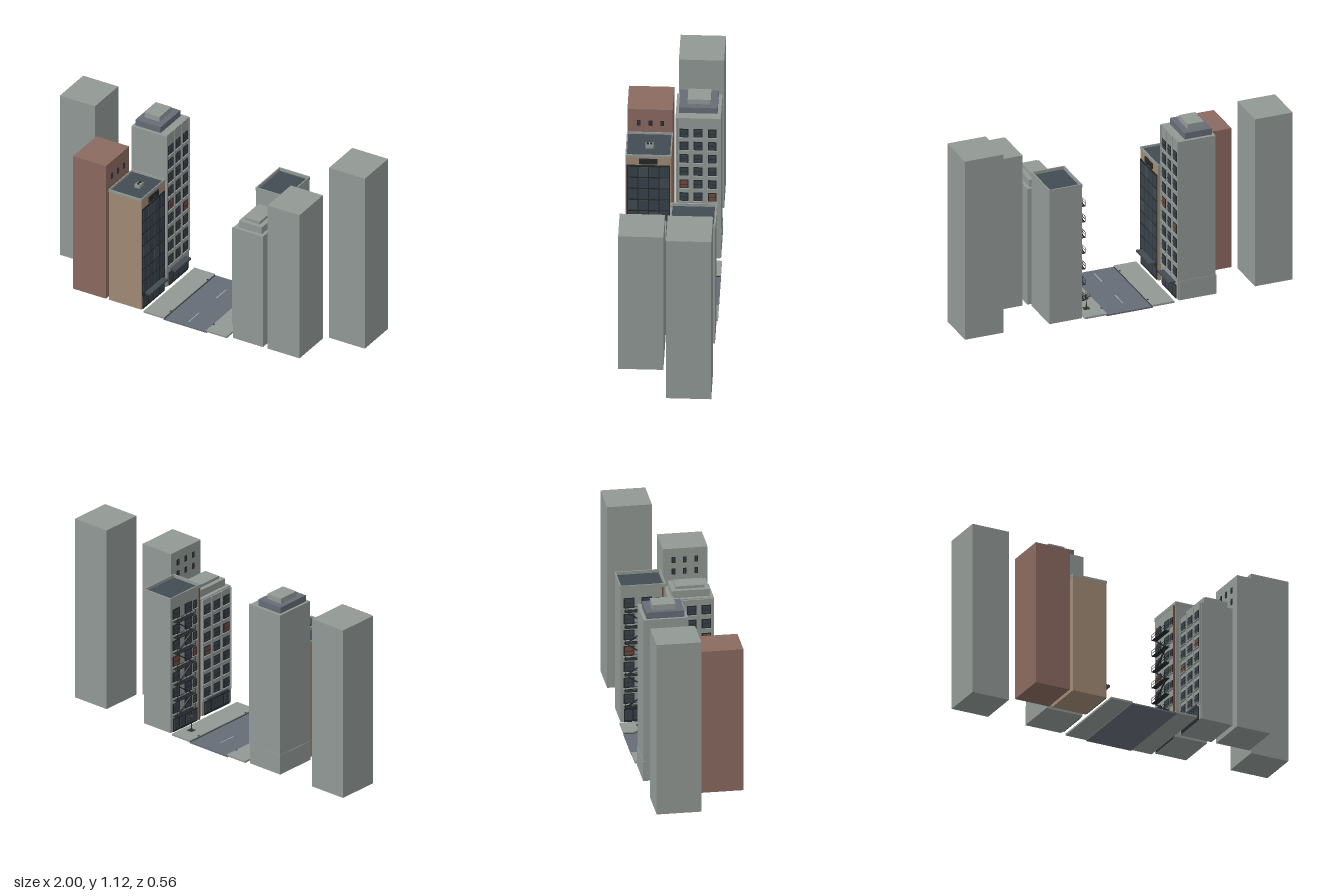
import * as THREE from 'three';

const mat = (name, color) => {
  const m = new THREE.MeshStandardMaterial({ color });
  m.name = name;
  return m;
};

export function createModel() {
  const model = new THREE.Group();
  model.name = 'streetBlock';
  const M = {
    grey: mat('concrete grey', 0x929995),
    red: mat('brick red', 0x8b6a60),
    tan: mat('sandstone tan', 0xa08a74),
    slate: mat('asphalt slate', 0x666c76),
    roof: mat('dark roof', 0x414b52),
    glass: mat('window glass', 0x38424a),
    frame: mat('dark metal', 0x25282a),
    curtain: mat('rust curtain', 0x74483a),
    line: mat('road paint', 0xa4aaab),
    wood: mat('bark', 0x3a3530),
  };

  // Box given by its minimum and maximum extents
  const box = (parent, name, material, x0, x1, y0, y1, z0, z1) => {
    const mesh = new THREE.Mesh(new THREE.BoxGeometry(Math.abs(x1 - x0), y1 - y0, z1 - z0), material);
    mesh.position.set((x0 + x1) / 2, (y0 + y1) / 2, (z0 + z1) / 2);
    mesh.name = name;
    parent.add(mesh);
    return mesh;
  };
  const group = (name) => {
    const g = new THREE.Group();
    g.name = name;
    model.add(g);
    return g;
  };

  const Y = 0.012;
  const BACK = [-0.27, -0.015], FRONT = [0.01, 0.265];

  // Raised rim around a flat roof
  const parapet = (g, material, x0, x1, y0, y1, z0, z1, t = 0.008) => {
    box(g, 'parapet', material, x0, x1, y0, y1, z0, z0 + t);
    box(g, 'parapet', material, x0, x1, y0, y1, z1 - t, z1);
    box(g, 'parapet', material, x0, x0 + t, y0, y1, z0 + t, z1 - t);
    box(g, 'parapet', material, x1 - t, x1, y0, y1, z0 + t, z1 - t);
  };

  // Rows of framed windows on a wall at x, facing dir (+1 or -1) along x
  const windows = (g, x, dir, { cols, rows, y, step, w, h, sill = true }) => {
    for (let r = 0; r < rows; r++) {
      cols.forEach((z, c) => {
        const cy = y + r * step, a = z - w / 2, b = z + w / 2;
        const lit = (r * 5 + c * 3) % 11 === 4;
        box(g, 'windowFrame', M.frame, x, x + dir * 0.003, cy - h / 2, cy + h / 2, a, b);
        box(g, 'windowPane', lit ? M.curtain : M.glass, x, x + dir * 0.0045,
          cy - h / 2 + 0.005, cy + h / 2 - 0.005, a + 0.006, b - 0.006);
        box(g, 'windowBar', M.frame, x, x + dir * 0.006, cy - 0.0015, cy + 0.0015, a, b);
        if (sill) box(g, 'windowSill', M.grey, x, x + dir * 0.01, cy - h / 2 - 0.006, cy - h / 2, a - 0.004, b + 0.004);
      });
    }
  };

  // Shop front with an awning
  const shop = (g, x, dir, z0, z1, awning) => {
    box(g, 'shopFront', M.frame, x, x + dir * 0.004, Y, 0.095, z0, z1);
    for (let i = 0; i < 4; i++) {
      const w = (z1 - z0) / 4, a = z0 + i * w;
      box(g, 'shopWindow', M.glass, x, x + dir * 0.006, 0.025, 0.085, a + 0.005, a + w - 0.005);
    }
    if (awning) box(g, 'awning', M.roof, x, x + dir * awning, 0.1, 0.112, z0 + 0.02, z1 - 0.02);
  };

  // Street: road, kerbed pavements, lane paint and drains
  const street = group('street');
  box(street, 'road', M.slate, -0.145, 0.14, 0, 0.009, -0.278, 0.278);
  box(street, 'pavement', M.grey, -0.275, -0.14, 0.006, 0.017, -0.278, 0.278);
  box(street, 'pavement', M.grey, 0.135, 0.27, 0.006, 0.017, -0.278, 0.278);
  for (const [x, dir] of [[-0.14, 1], [0.135, -1]]) {
    box(street, 'gutter', M.frame, x, x + dir * 0.004, 0.008, 0.0105, -0.278, 0.278);
    for (const z of [-0.2, 0.2]) box(street, 'drain', M.frame, x, x - dir * 0.008, 0.016, 0.018, z - 0.006, z + 0.006);
  }
  for (const z of [-0.12, 0.18]) box(street, 'laneDash', M.line, -0.006, 0, 0.009, 0.0102, z - 0.055, z + 0.055);

  // Plain outer blocks
  box(model, 'farLeftBlock', M.grey, -1, -0.77, Y, 1.055, ...BACK);
  box(model, 'farRightBlock', M.grey, 0.765, 1, Y, 1.125, ...BACK);
  const brick = group('brickBlock');
  box(brick, 'brickBody', M.red, -0.745, -0.53, Y, 0.88, ...FRONT);
  const side = group('rightSideBlock');
  box(side, 'sideBody', M.grey, 0.53, 0.74, Y, 0.95, ...FRONT);
  const small = { cols: [0.07, 0.135, 0.2], rows: 2, y: 0.77, step: 0.07, w: 0.02, h: 0.035, sill: false };
  windows(brick, -0.53, 1, { ...small, rows: 1, y: 0.785 });
  windows(side, 0.53, -1, { ...small, y: 0.81 });

  // Stepped tower, back left
  const tower = group('steppedTower');
  box(tower, 'towerBody', M.grey, -0.53, -0.31, Y, 1, ...BACK);
  box(tower, 'towerBase', M.grey, -0.533, -0.309, Y, 0.13, -0.272, -0.013);
  box(tower, 'towerFacade', M.grey, -0.31, -0.303, Y, 1, -0.266, -0.019);
  box(tower, 'roofStep', M.slate, -0.515, -0.35, 1, 1.038, -0.25, -0.033);
  box(tower, 'roofCap', M.grey, -0.485, -0.385, 1.038, 1.07, -0.21, -0.08);
  for (const z of [-0.264, -0.181, -0.104, -0.021])
    box(tower, 'pilaster', M.grey, -0.31, -0.298, 0.13, 1, z - 0.004, z + 0.004);
  windows(tower, -0.303, 1, { cols: [-0.222, -0.142, -0.063], rows: 9, y: 0.175, step: 0.09, w: 0.05, h: 0.058 });
  shop(tower, -0.303, 1, -0.245, -0.04, 0.038);

  // Sandstone block with a glazed front, front left
  const stone = group('sandstoneBlock');
  box(stone, 'stoneBody', M.tan, -0.51, -0.297, Y, 0.72, ...FRONT);
  box(stone, 'flatRoof', M.roof, -0.504, -0.303, 0.72, 0.724, 0.016, 0.259);
  parapet(stone, M.grey, -0.512, -0.296, 0.72, 0.735, 0.008, 0.267, 0.006);
  box(stone, 'glazingFrame', M.frame, -0.297, -0.293, 0.1, 0.665, 0.016, 0.259);
  for (let r = 0; r < 7; r++)
    for (let c = 0; c < 4; c++) {
      const z = 0.022 + c * 0.059, y = 0.117 + r * 0.078;
      box(stone, 'glassPanel', (r * 3 + c * 2) % 7 === 1 ? M.roof : M.glass, -0.294, -0.291, y, y + 0.068, z, z + 0.053);
    }
  box(stone, 'facadePanel', M.frame, -0.297, -0.29, 0.675, 0.71, 0.085, 0.19);
  box(stone, 'facadeLamp', M.frame, -0.297, -0.28, 0.685, 0.7, 0.13, 0.145);
  shop(stone, -0.297, 1, 0.022, 0.253, 0.04);
  box(stone, 'roofUnit', M.grey, -0.407, -0.373, 0.724, 0.745, 0.113, 0.157);
  for (const z of [0.125, 0.145]) {
    const fan = new THREE.Mesh(new THREE.CylinderGeometry(0.008, 0.008, 0.006, 12), M.frame);
    fan.position.set(-0.39, 0.747, z);
    fan.name = 'roofFan';
    stone.add(fan);
  }

  // Block with a fire escape, back right
  const escape = group('fireEscapeBlock');
  box(escape, 'escapeBody', M.grey, 0.287, 0.485, Y, 0.83, ...BACK);
  box(escape, 'flatRoof', M.roof, 0.295, 0.477, 0.83, 0.834, -0.262, -0.023);
  parapet(escape, M.grey, 0.285, 0.487, 0.83, 0.85, -0.273, -0.012, 0.007);
  windows(escape, 0.287, -1, { cols: [-0.222, -0.12], rows: 7, y: 0.155, step: 0.098, w: 0.06, h: 0.062 });
  windows(escape, 0.287, -1, { cols: [-0.063], rows: 7, y: 0.155, step: 0.098, w: 0.03, h: 0.05 });
  box(escape, 'drainPipe', M.curtain, 0.287, 0.28, Y, 0.83, -0.034, -0.026);
  for (let i = 0; i < 7; i++) {
    const y = 0.108 + i * 0.098;
    box(escape, 'landing', M.frame, 0.256, 0.287, y, y + 0.003, -0.25, -0.09);
    for (const h of [0.018, 0.034]) box(escape, 'rail', M.frame, 0.256, 0.258, y + h, y + h + 0.002, -0.25, -0.09);
    for (let k = 0; k < 5; k++) {
      const z = -0.25 + k * 0.0395;
      box(escape, 'railPost', M.frame, 0.256, 0.258, y, y + 0.036, z, z + 0.002);
    }
    if (i < 6) {
      // Sloping stair between two landings
      const stair = box(escape, 'stair', M.frame, 0.266, 0.274, y - 0.0125, y - 0.0095 + 0.003, -0.24, -0.1);
      stair.position.y = y + 0.049;
      stair.rotation.x = 0.61 * (i % 2 ? 1 : -1);
    }
  }
  shop(escape, 0.287, -1, -0.25, -0.045, 0);

  // Stepped block, front right
  const stepped = group('steppedBlock');
  box(stepped, 'steppedBody', M.grey, 0.307, 0.5, Y, 0.735, ...FRONT);
  box(stepped, 'steppedFacade', M.grey, 0.3, 0.307, Y, 0.73, 0.014, 0.261);
  box(stepped, 'roofStep', M.grey, 0.33, 0.48, 0.735, 0.778, 0.03, 0.245);
  box(stepped, 'roofCap', M.grey, 0.355, 0.452, 0.778, 0.795, 0.055, 0.22);
  windows(stepped, 0.3, -1, { cols: [0.055, 0.137, 0.22], rows: 7, y: 0.15, step: 0.086, w: 0.052, h: 0.056 });
  for (const z of [0.018, 0.096, 0.179, 0.257])
    box(stepped, 'pilaster', M.grey, 0.307, 0.295, 0.1, 0.73, z - 0.004, z + 0.004);
  shop(stepped, 0.3, -1, 0.03, 0.245, 0.012);

  // Bare street tree in a planting square
  const tree = group('streetTree');
  box(tree, 'treePit', M.wood, 0.2, 0.236, 0.017, 0.0185, -0.19, -0.154);
  const limb = (name, from, to, r) => {
    const d = to.clone().sub(from);
    const m = new THREE.Mesh(new THREE.CylinderGeometry(r * 0.5, r, d.length(), 5), M.wood);
    m.position.copy(from).addScaledVector(d, 0.5);
    m.quaternion.setFromUnitVectors(new THREE.Vector3(0, 1, 0), d.normalize());
    m.name = name;
    tree.add(m);
  };
  const top = new THREE.Vector3(0.218, 0.075, -0.172);
  limb('trunk', new THREE.Vector3(0.218, 0.017, -0.172), top, 0.004);
  for (let i = 0; i < 12; i++) {
    const a = i * 2.4, up = 0.005 + 0.035 * (i / 11), out = 0.034 - 0.025 * (i / 11);
    const tip = top.clone().add(new THREE.Vector3(Math.cos(a) * out, up, Math.sin(a) * out));
    limb('branch', top, tip, 0.002);
    const mid = top.clone().lerp(tip, 0.6);
    for (const s of [-0.8, 0.8])
      limb('twig', mid, mid.clone().add(new THREE.Vector3(Math.cos(a + s) * 0.014, 0.011, Math.sin(a + s) * 0.014)), 0.0015);
  }
  return model;
}
